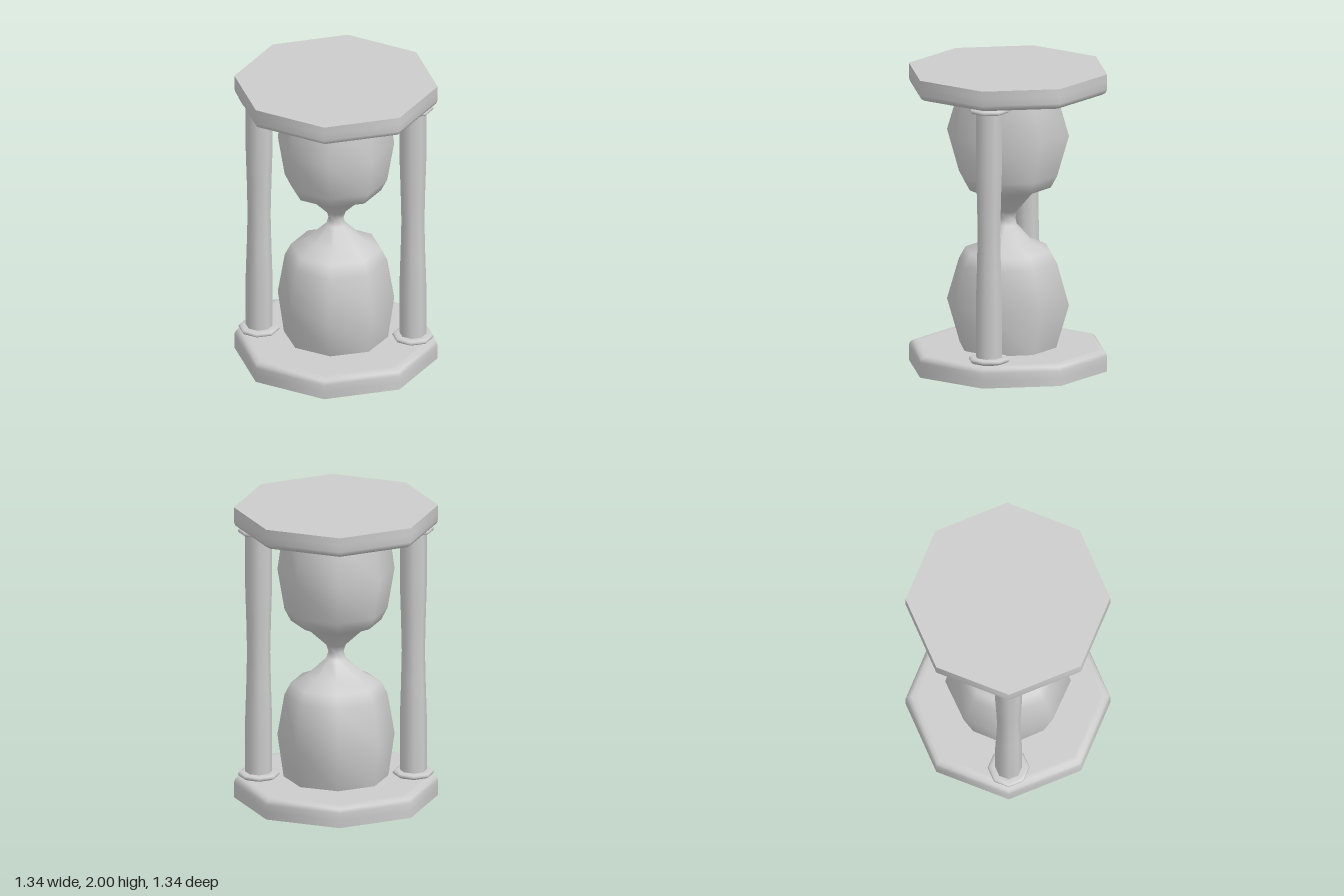
import * as THREE from 'three';
import { mergeVertices } from 'three/addons/utils/BufferGeometryUtils.js';

const SIDES = 8;
const material = new THREE.MeshStandardMaterial({ color: 0xcccccc });

function addMesh(parent, name, geometry) {
  const mesh = new THREE.Mesh(geometry, material);
  mesh.name = name;
  parent.add(mesh);
  return mesh;
}

// Eight-sided turned part from [radius, y] points, listed upwards
function turned(profile) {
  return new THREE.LatheGeometry(profile.map(([r, y]) => new THREE.Vector2(r, y)), SIDES);
}

// Octagonal slab with a rounded inner rim and a sharp, flat outer face
function createSlab(name) {
  const slab = new THREE.Group();
  slab.name = name;
  addMesh(slab, name + 'Body', turned([
    [0.67, 0], [0.67, 0.05], [0.67, 0.1], [0.66, 0.125], [0.635, 0.139], [0.6, 0.14], [0, 0.14],
  ]));
  const face = addMesh(slab, name + 'Face', new THREE.CircleGeometry(0.67, SIDES));
  face.rotation.x = Math.PI / 2;
  return slab;
}

// Post with a slight waist and a collar at each end
function createPost(name) {
  const post = new THREE.Group();
  post.name = name;
  addMesh(post, 'shaft', turned([
    [0.088, 0.14], [0.088, 0.55], [0.081, 0.78], [0.076, 1],
    [0.081, 1.22], [0.088, 1.45], [0.088, 1.86],
  ]));
  for (const end of ['lower', 'upper']) {
    const collar = addMesh(post, end + 'Collar', turned([
      [0.11, 0.14], [0.13, 0.149], [0.137, 0.16], [0.13, 0.172], [0.11, 0.177], [0.08, 0.177],
    ]));
    if (end === 'upper') {
      collar.rotation.x = Math.PI;
      collar.position.y = 2;
    }
  }
  return post;
}

// Two bulbs joined by a narrow neck; each ring has its own x and z radius
function createGlass() {
  const lower = [ // [y, x radius, z radius]
    [0.13, 0.342, 0.323], [0.43, 0.384, 0.412], [0.705, 0.338, 0.332],
    [0.785, 0.297, 0.288], [0.835, 0.2, 0.16], [0.955, 0.064, 0.06],
  ];
  const upper = lower.map(([y, rx, rz]) => [2 - y, rx, rz]).reverse();
  const rings = [...lower, [1, 0.05, 0.05], ...upper];
  let geometry = turned(rings.map(([y]) => [1, y]));
  const position = geometry.attributes.position;
  for (let i = 0; i < position.count; i++) {
    const [, rx, rz] = rings[i % rings.length];
    position.setX(i, position.getX(i) * rx);
    position.setZ(i, position.getZ(i) * rz);
  }
  geometry.deleteAttribute('uv');
  geometry.deleteAttribute('normal');
  geometry = mergeVertices(geometry, 1e-5);
  geometry.computeVertexNormals();
  return geometry;
}

export function createModel() {
  const model = new THREE.Group();
  model.name = 'hourglass';

  model.add(createSlab('base'));
  const top = createSlab('top');
  top.rotation.x = Math.PI;
  top.position.y = 2;
  model.add(top);

  for (const side of [1, -1]) {
    const post = createPost(side > 0 ? 'leftPost' : 'rightPost');
    post.position.x = side * 0.507;
    model.add(post);
  }

  addMesh(model, 'glass', createGlass());
  return model;
}
